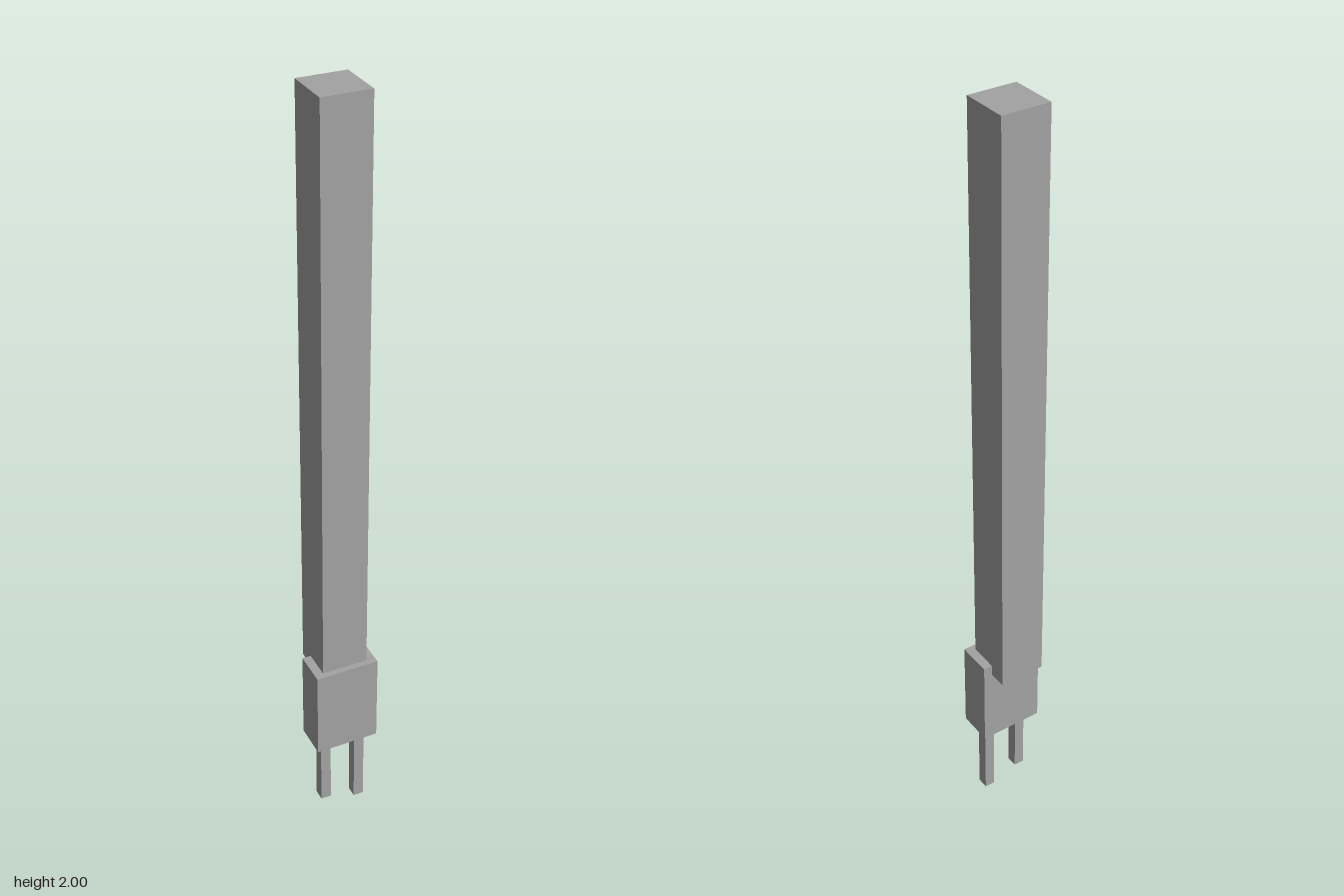
import * as THREE from 'three';

export function createModel() {
  const model = new THREE.Group();
  const grey = new THREE.MeshStandardMaterial({ color: 0xa3a3a3 });
  grey.name = 'grey';

  // Box given by its lower and upper limits on each axis
  function addBox(name, [x0, x1], [y0, y1], [z0, z1]) {
    const mesh = new THREE.Mesh(new THREE.BoxGeometry(x1 - x0, y1 - y0, z1 - z0), grey);
    mesh.position.set((x0 + x1) / 2, (y0 + y1) / 2, (z0 + z1) / 2);
    mesh.name = name;
    model.add(mesh);
  }

  // Long square shaft, overhanging the block at the back
  addBox('shaft', [-0.062, 0.061], [0.45, 2], [-0.072, 0.053]);

  // Block gripping the foot of the shaft
  addBox('block', [-0.085, 0.085], [0.23, 0.48], [-0.024, 0.069]);

  // Two prongs of unequal length
  addBox('rightProng', [-0.064, -0.036], [0.028, 0.24], [0.011, 0.042]);
  addBox('leftProng', [0.033, 0.061], [0, 0.24], [0.011, 0.042]);

  return model;
}
